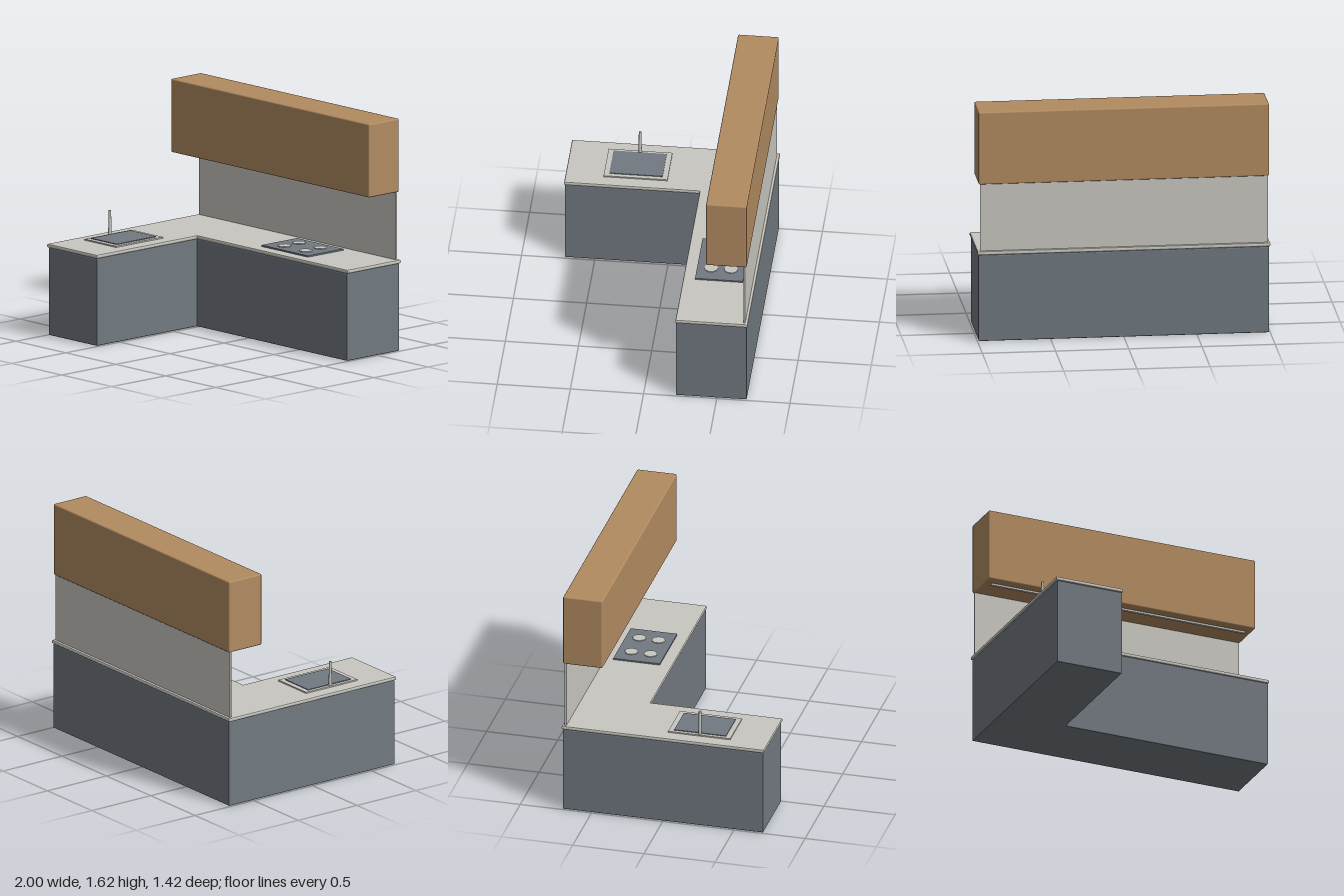
import * as THREE from 'three';
import { RoundedBoxGeometry } from 'three/addons/geometries/RoundedBoxGeometry.js';

const material = (name, color) => {
  const m = new THREE.MeshStandardMaterial({ color });
  m.name = name;
  return m;
};

export function createModel() {
  const wood = material('warm wood', 0xb28b61);
  const stone = material('pale stone', 0xc9c7c0);
  const slate = material('slate grey', 0x717980);

  const kitchen = new THREE.Group();
  kitchen.name = 'cornerKitchen';

  const add = (name, geometry, mat) => {
    const mesh = new THREE.Mesh(geometry, mat);
    mesh.name = name;
    kitchen.add(mesh);
    return mesh;
  };

  // Box given by its limits on each axis, with softened edges if r > 0
  const box = (name, mat, [x0, x1], [y0, y1], [z0, z1], r = 0) => {
    const size = [x1 - x0, y1 - y0, z1 - z0];
    const g = r ? new RoundedBoxGeometry(...size, 2, r) : new THREE.BoxGeometry(...size);
    g.translate((x0 + x1) / 2, (y0 + y1) / 2, (z0 + z1) / 2);
    return add(name, g, mat);
  };

  // L-shaped slab with bevelled edges: back run plus a side run on the right
  const corner = (name, mat, halfX, halfZ, innerX, innerZ, y0, y1, bevel) => {
    const shape = new THREE.Shape([
      [-halfX, -halfZ], [innerX, -halfZ], [innerX, -innerZ],
      [halfX, -innerZ], [halfX, halfZ], [-halfX, halfZ],
    ].map(([x, y]) => new THREE.Vector2(x, y)));
    const g = new THREE.ExtrudeGeometry(shape, {
      depth: y1 - y0 - 2 * bevel,
      bevelThickness: bevel,
      bevelSize: bevel,
      bevelOffset: -bevel,
      bevelSegments: 2,
    });
    g.rotateX(-Math.PI / 2).translate(0, y0 + bevel, 0);
    return add(name, g, mat);
  };

  // Base cabinets and worktop
  corner('baseCabinets', slate, 0.992, 0.703, -0.511, -0.222, 0, 0.609, 0.008);
  corner('worktop', stone, 1, 0.71, -0.504, -0.217, 0.608, 0.635, 0.009);

  // Wall side: splash panel, wall cabinet and the light strip below it
  box('splashback', stone, [-0.985, 0.982], [0.63, 1.11], [-0.692, -0.68]);
  box('wallCabinet', wood, [-0.992, 0.992], [1.105, 1.615], [-0.703, -0.425], 0.01);
  box('lightStrip', stone, [-0.945, 0.942], [1.092, 1.112], [-0.513, -0.493]);

  // Hob with four burners
  box('hob', slate, [0.052, 0.518], [0.634, 0.645], [-0.625, -0.298]);
  for (const x of [0.178, 0.39]) {
    for (const z of [-0.53, -0.395]) {
      const burner = add('burner', new THREE.CylinderGeometry(0.047, 0.047, 0.008, 10), stone);
      burner.position.set(x, 0.646, z);
    }
  }

  // Sink: raised rim, basin inset and tap
  box('sinkRim', stone, [-0.908, -0.594], [0.633, 0.644], [0.014, 0.45]);
  box('sinkBasin', slate, [-0.884, -0.624], [0.642, 0.649], [0.05, 0.414]);
  const tap = add('tap', new THREE.CylinderGeometry(0.009, 0.012, 0.175, 12), stone);
  tap.position.set(-0.89, 0.7275, 0.233);

  return kitchen;
}
